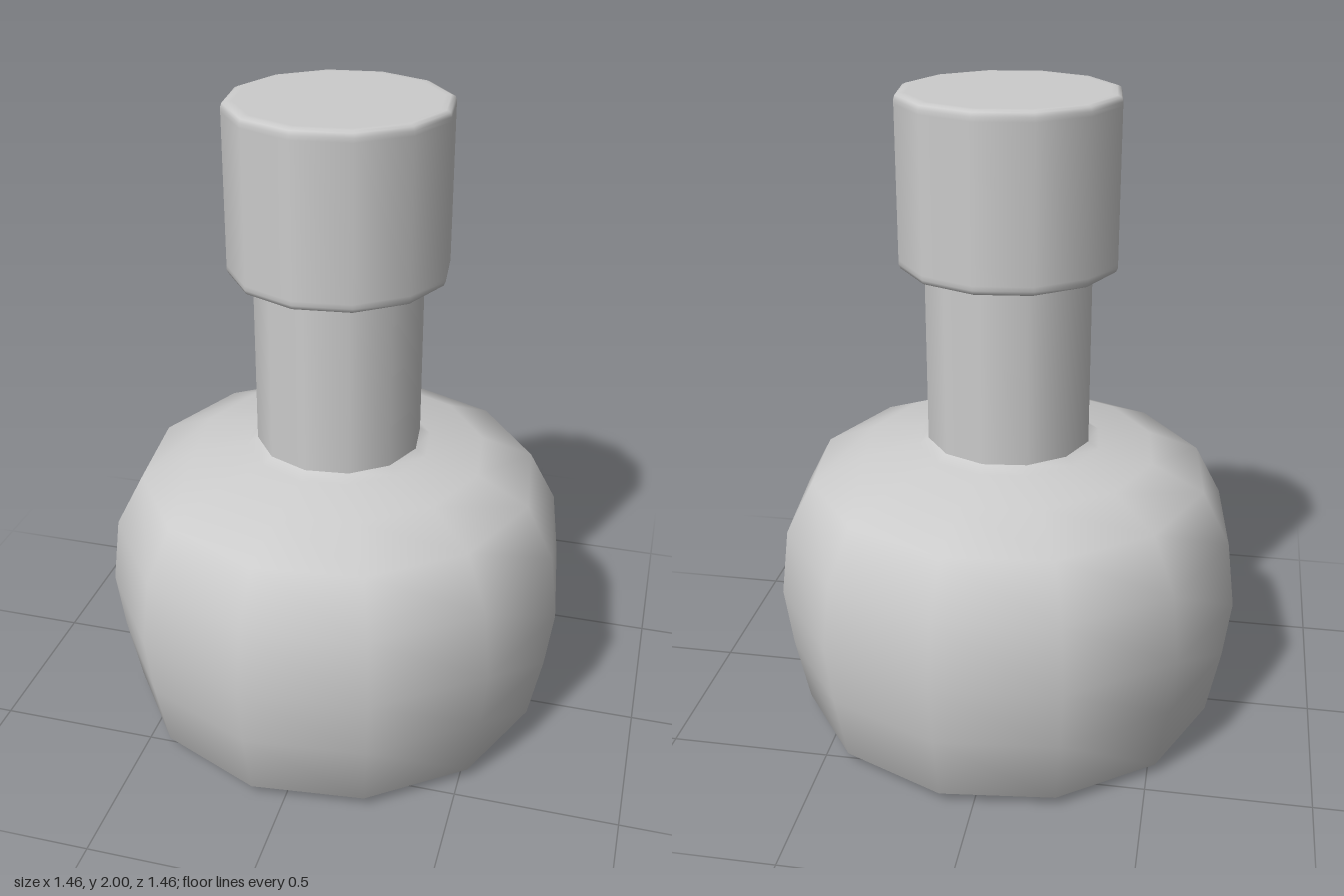
import * as THREE from 'three';

const SIDES = 12;
const TURN = THREE.MathUtils.degToRad(21.3); // rotation of the twelve-sided section

// Smooth-shaded lathe part from a bottom-to-top [radius, height] profile
function lathe(name, profile, material) {
  const points = profile.map(([r, y]) => new THREE.Vector2(r, y));
  const mesh = new THREE.Mesh(new THREE.LatheGeometry(points, SIDES, TURN), material);
  mesh.name = name;
  return mesh;
}

export function createModel() {
  const group = new THREE.Group();
  group.name = 'bottle';
  const grey = new THREE.MeshStandardMaterial({ color: 0xcccccc });

  // Rounded belly with a flat base and a soft shoulder running into the neck
  group.add(lathe('body', [
    [0, 0], [0.58, 0.008], [0.605, 0.012], [0.672, 0.035], [0.714, 0.25], [0.738, 0.44],
    [0.712, 0.65], [0.625, 0.815], [0.46, 0.888], [0.29, 0.915], [0.257, 0.935],
  ], grey));

  // Straight neck
  group.add(lathe('neck', [[0.257, 0.93], [0.257, 1.5]], grey));

  // Stopper with finely bevelled rims
  group.add(lathe('stopper', [
    [0.24, 1.485], [0.315, 1.485], [0.328, 1.49], [0.333, 1.502], [0.333, 1.515],
    [0.333, 1.97], [0.333, 1.983], [0.329, 1.995], [0.317, 2], [0.3, 2], [0, 2],
  ], grey));

  return group;
}
